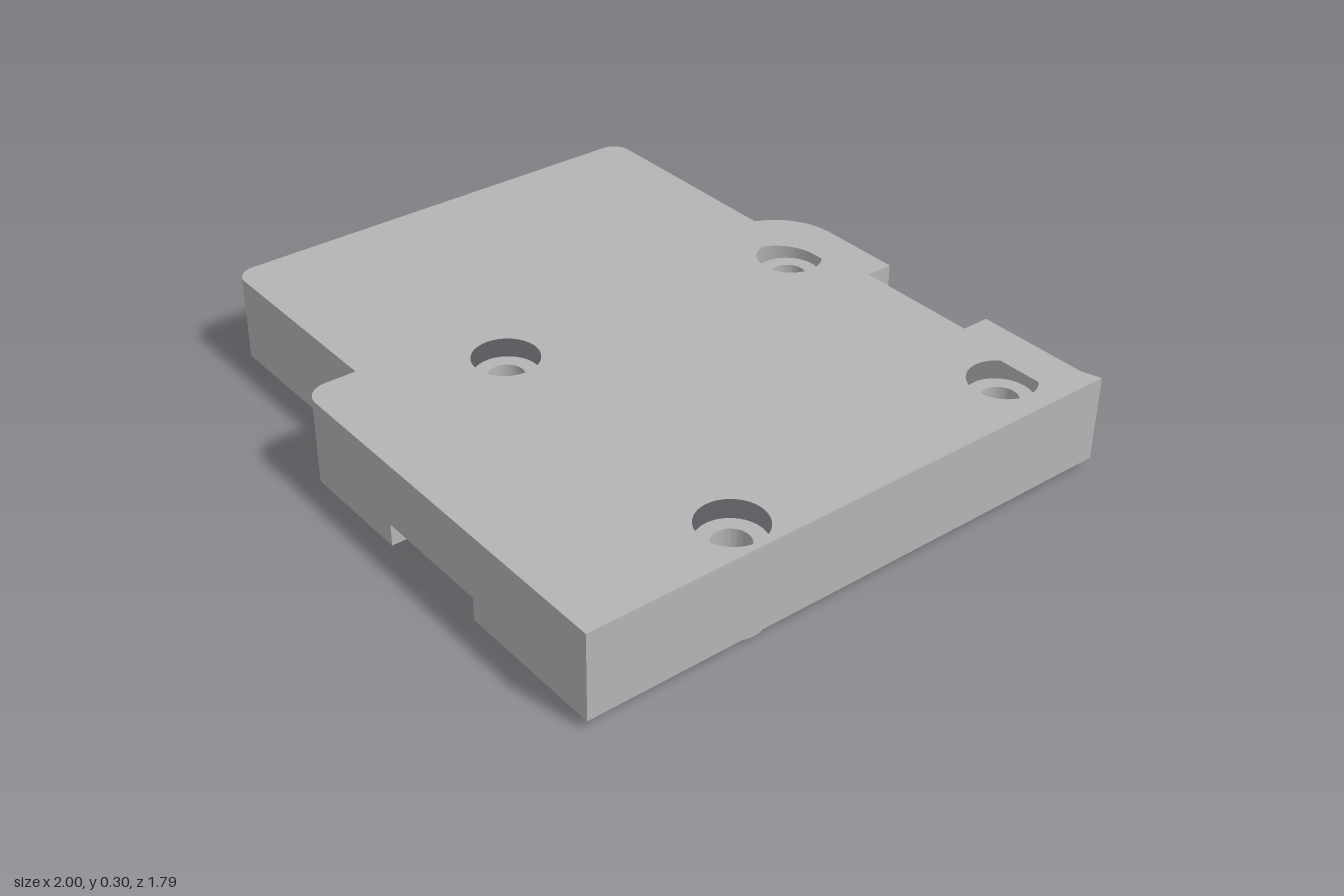
import * as THREE from 'three';
import { toCreasedNormals } from 'three/addons/utils/BufferGeometryUtils.js';

const BOTTOM = 0.03, SLOT_TOP = 0.10, CEILING = 0.24, TOP = 0.30;
const BOSS_R = 0.10, BORE_R = 0.055;

// Outline points are [x, b], with b pointing to the back (-z).
function arc(cx, cb, r, from, to, n = 8) {
  return Array.from({ length: n + 1 }, (_, i) => {
    const a = THREE.MathUtils.degToRad(from + (to - from) * i / n);
    return [cx + r * Math.cos(a), cb + r * Math.sin(a)];
  });
}

function shapeOf(points) {
  return new THREE.Shape(points.map(([x, b]) => new THREE.Vector2(x, b)));
}

function circleHole(x, b, r) {
  return new THREE.Path().absarc(x, b, r, 0, Math.PI * 2, true);
}

export function createModel() {
  const group = new THREE.Group();
  const grey = new THREE.MeshStandardMaterial({ color: 0xb4b4b4 });
  grey.name = 'grey plastic';

  function slab(name, shape, y0, y1) {
    let geo = new THREE.ExtrudeGeometry(shape, { depth: y1 - y0, bevelEnabled: false, curveSegments: 24 });
    geo.rotateX(-Math.PI / 2);
    geo.translate(0, y0, 0);
    geo = toCreasedNormals(geo, 0.5);
    const mesh = new THREE.Mesh(geo, grey);
    mesh.name = name;
    group.add(mesh);
  }

  // Outer and inner wall lines, clockwise from the back opening, split at the front slot
  const outerA = [[0.58, 0.88], [0.94, 0.88], [1, 0.9], [1, -0.89], [0.52, -0.89]];
  const outerB = [
    [0.13, -0.89], ...arc(-0.23, -0.82, 0.07, 270, 180),
    [-0.30, -0.72], ...arc(-0.94, -0.66, 0.06, 270, 180),
    ...arc(-0.94, 0.68, 0.06, 180, 90),
    ...arc(-0.09, 0.67, 0.21, 160, 90), [0.18, 0.88],
  ];
  const innerA = [[0.58, 0.82], [0.94, 0.82], [0.94, -0.83], [0.52, -0.83]];
  const innerB = [
    [0.13, -0.83], [-0.24, -0.83], [-0.24, -0.66], [-0.94, -0.66],
    [-0.94, 0.68], ...arc(-0.09, 0.67, 0.15, 176, 90), [0.18, 0.82],
  ];
  const outer = [...outerA, ...outerB];
  const inner = [...innerA, ...innerB];
  const strip = (a, b) => shapeOf([...a, ...[...b].reverse()]);

  // Walls: continuous above the slot, two pieces beside it
  slab('upperWall', strip(outer, inner), SLOT_TOP, CEILING);
  slab('lowerWallLeft', strip(outerA, innerA), BOTTOM, SLOT_TOP);
  slab('lowerWallRight', strip(outerB, innerB), BOTTOM, SLOT_TOP);

  // Top plate with counterbores and the cut-out at the back
  const bosses = [[-0.05, 0.675], [0.835, 0.675], [-0.105, -0.345], [0.88, -0.345]];
  const plate = shapeOf([...outer, [0.18, 0.79], [0.58, 0.79]]);
  for (const [x, b] of bosses) plate.holes.push(circleHole(x, b, BOSS_R));
  slab('topPlate', plate, CEILING, TOP);

  // Hollow screw bosses
  for (const [x, b] of bosses) {
    const ring = new THREE.Shape().absarc(x, b, BOSS_R, 0, Math.PI * 2, false);
    ring.holes.push(circleHole(x, b, BORE_R));
    slab('screwBoss', ring, 0, CEILING);
  }
  return group;
}
